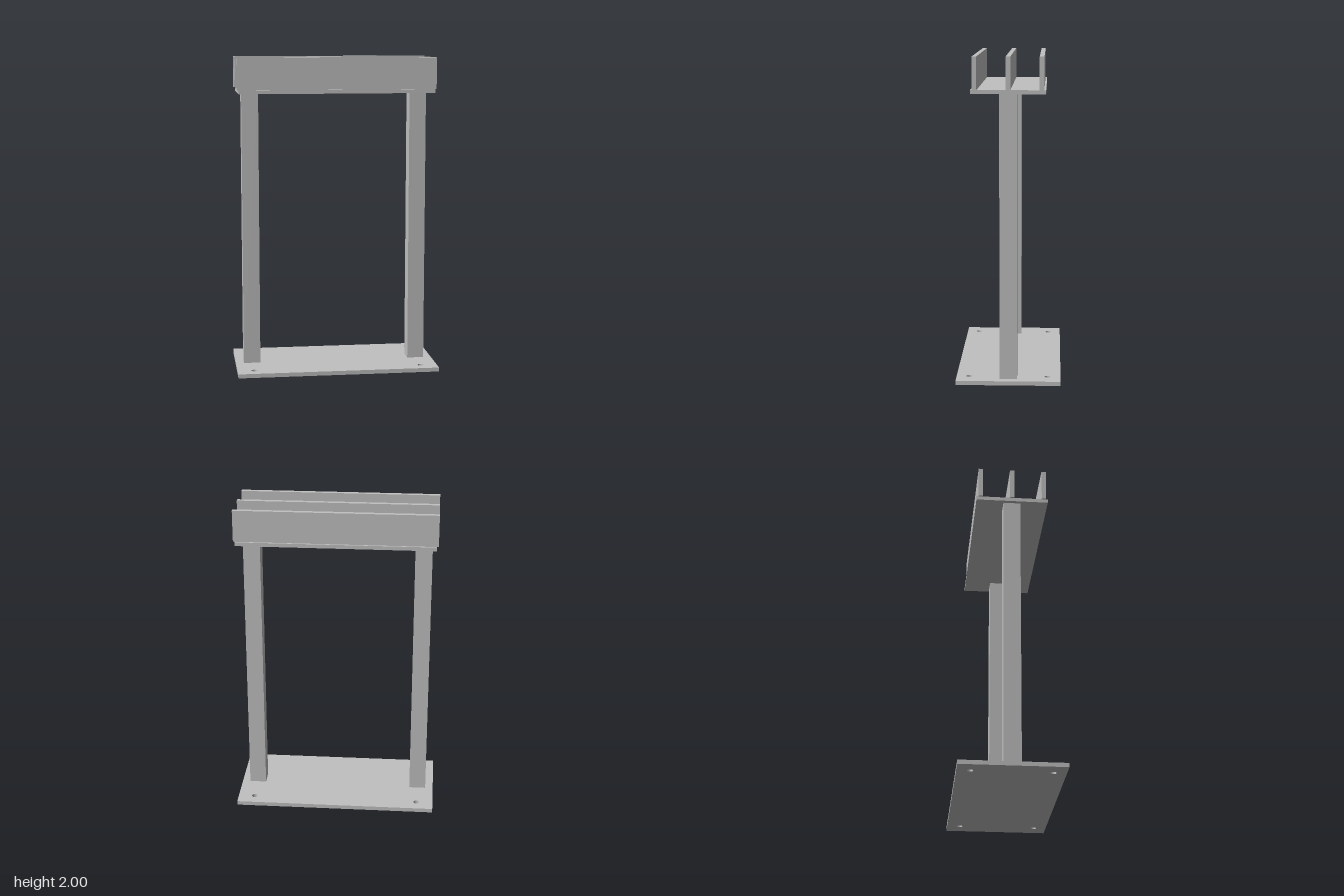
import * as THREE from 'three';

export function createModel() {
  const model = new THREE.Group();
  const steel = new THREE.MeshStandardMaterial({ color: 0xc0c0c0 });
  steel.name = 'light grey steel';

  const add = (name, geometry, x = 0, y = 0, z = 0) => {
    const mesh = new THREE.Mesh(geometry, steel);
    mesh.name = name;
    mesh.position.set(x, y, z);
    model.add(mesh);
  };

  // heights of the stacked parts
  const baseTop = 0.026, shelfBottom = 1.778, shelfTop = 1.802, top = 2;

  // base plate with four bolt holes
  const w = 0.643, d = 0.322;
  const plate = new THREE.Shape([
    new THREE.Vector2(-w, -d), new THREE.Vector2(w, -d),
    new THREE.Vector2(w, d), new THREE.Vector2(-w, d),
  ]);
  for (const sx of [-1, 1]) for (const sz of [-1, 1]) {
    plate.holes.push(new THREE.Path().absarc(sx * 0.537, sz * 0.242, 0.019, 0, Math.PI * 2, true));
  }
  const base = new THREE.ExtrudeGeometry(plate, { depth: baseTop, bevelEnabled: false, curveSegments: 24 });
  base.rotateX(-Math.PI / 2);
  add('basePlate', base);

  // square posts
  const postHeight = shelfBottom - baseTop;
  for (const [name, side] of [['leftPost', 1], ['rightPost', -1]]) {
    add(name, new THREE.BoxGeometry(0.107, postHeight, 0.107), side * 0.539, baseTop + postHeight / 2);
  }

  // top plate carried by the posts
  add('topPlate', new THREE.BoxGeometry(1.234, shelfTop - shelfBottom, 0.452), 0, (shelfTop + shelfBottom) / 2);

  // three upright rails, slightly longer than the top plate
  for (const [name, z] of [['frontRail', 0.201], ['middleRail', 0], ['backRail', -0.201]]) {
    add(name, new THREE.BoxGeometry(1.256, top - shelfTop, 0.028), 0, (top + shelfTop) / 2, z);
  }

  return model;
}
